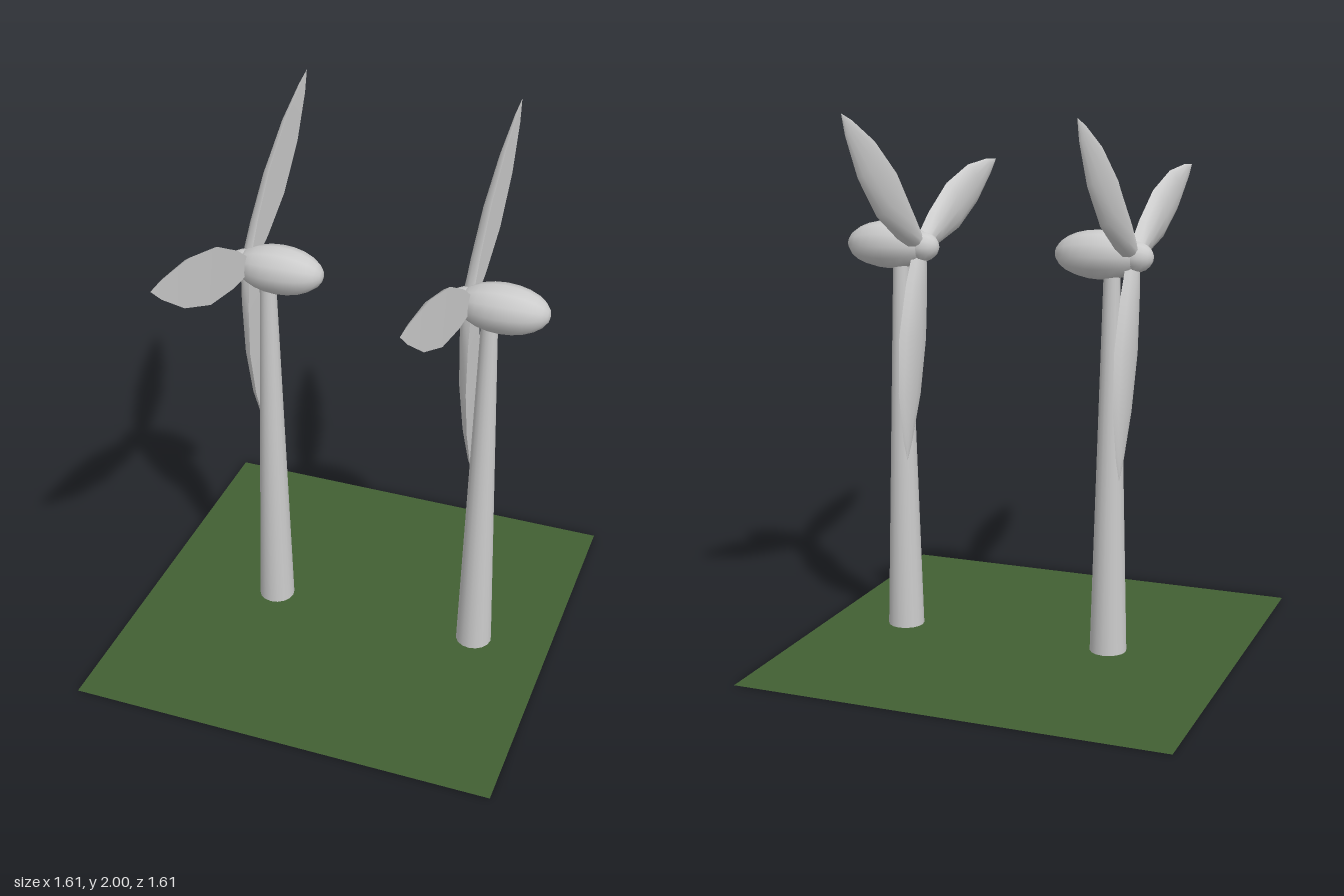
import * as THREE from 'three';

const grey = new THREE.MeshStandardMaterial({ color: 0xcccccc });
const grass = new THREE.MeshStandardMaterial({ color: 0x426033, side: THREE.DoubleSide });

const HUB_Y = 1.483;

function addMesh(parent, name, geometry, material = grey) {
  const mesh = new THREE.Mesh(geometry, material);
  mesh.name = name;
  parent.add(mesh);
  return mesh;
}

// Ellipsoid with its poles along x
function ellipsoid(halfLength, radius, sides, rings) {
  return new THREE.SphereGeometry(1, sides, rings)
    .rotateZ(Math.PI / 2)
    .scale(halfLength, radius, radius);
}

// Blade along +y: a flat back towards +x and a bulging face towards -x
function bladeGeometry() {
  // distance from hub, half width, x of the back, thickness
  const stations = [
    [0.03, 0.03, 0.018, 0.045],
    [0.15, 0.068, 0.018, 0.047],
    [0.34, 0.101, 0.017, 0.046],
    [0.55, 0.085, 0.013, 0.034],
    [0.725, 0.034, 0.006, 0.015],
    [0.802, 0, 0, 0],
  ];
  const across = 6;
  const positions = [];
  const indices = [];
  for (const bulge of [1, 0]) {
    const start = positions.length / 3;
    for (const [s, w, back, thick] of stations) {
      for (let j = 0; j <= across; j++) {
        const a = (j / across) * Math.PI;
        positions.push(back - bulge * thick * Math.sin(a), s, -w * Math.cos(a));
      }
    }
    for (let i = 0; i < stations.length - 1; i++) {
      for (let j = 0; j < across; j++) {
        const a = start + i * (across + 1) + j;
        const b = a + 1;
        const c = a + across + 1;
        const d = c + 1;
        if (bulge) indices.push(a, b, c, b, d, c);
        else indices.push(a, c, b, b, c, d);
      }
    }
  }
  const geometry = new THREE.BufferGeometry();
  geometry.setAttribute('position', new THREE.Float32BufferAttribute(positions, 3));
  geometry.setIndex(indices);
  geometry.computeVertexNormals();
  return geometry;
}

// One turbine with its tower axis on the origin and its rotor towards -x
function createTurbine() {
  const turbine = new THREE.Group();

  const tower = addMesh(turbine, 'tower', new THREE.CylinderGeometry(0.029, 0.069, 1.45, 16));
  tower.position.y = 0.725;

  const nacelle = addMesh(turbine, 'nacelle', ellipsoid(0.168, 0.09, 12, 12));
  nacelle.position.set(0.046, HUB_Y + 0.002, 0);

  // Rotor: hub and three blades
  const rotor = new THREE.Group();
  rotor.name = 'rotor';
  rotor.position.set(-0.08, HUB_Y, 0);
  turbine.add(rotor);
  addMesh(rotor, 'hub', ellipsoid(0.066, 0.056, 12, 10)).position.x = -0.007;
  const blade = bladeGeometry();
  for (let k = 0; k < 3; k++) {
    addMesh(rotor, 'blade', blade).rotation.x = THREE.MathUtils.degToRad(-50 + 120 * k);
  }
  return turbine;
}

export function createModel() {
  const model = new THREE.Group();
  model.name = 'windFarm';

  addMesh(model, 'ground', new THREE.PlaneGeometry(1.61, 1.61).rotateX(-Math.PI / 2), grass);

  [['rightTurbine', -0.322], ['leftTurbine', 0.508]].forEach(([name, x]) => {
    const turbine = createTurbine();
    turbine.name = name;
    turbine.position.x = x;
    model.add(turbine);
  });
  return model;
}
